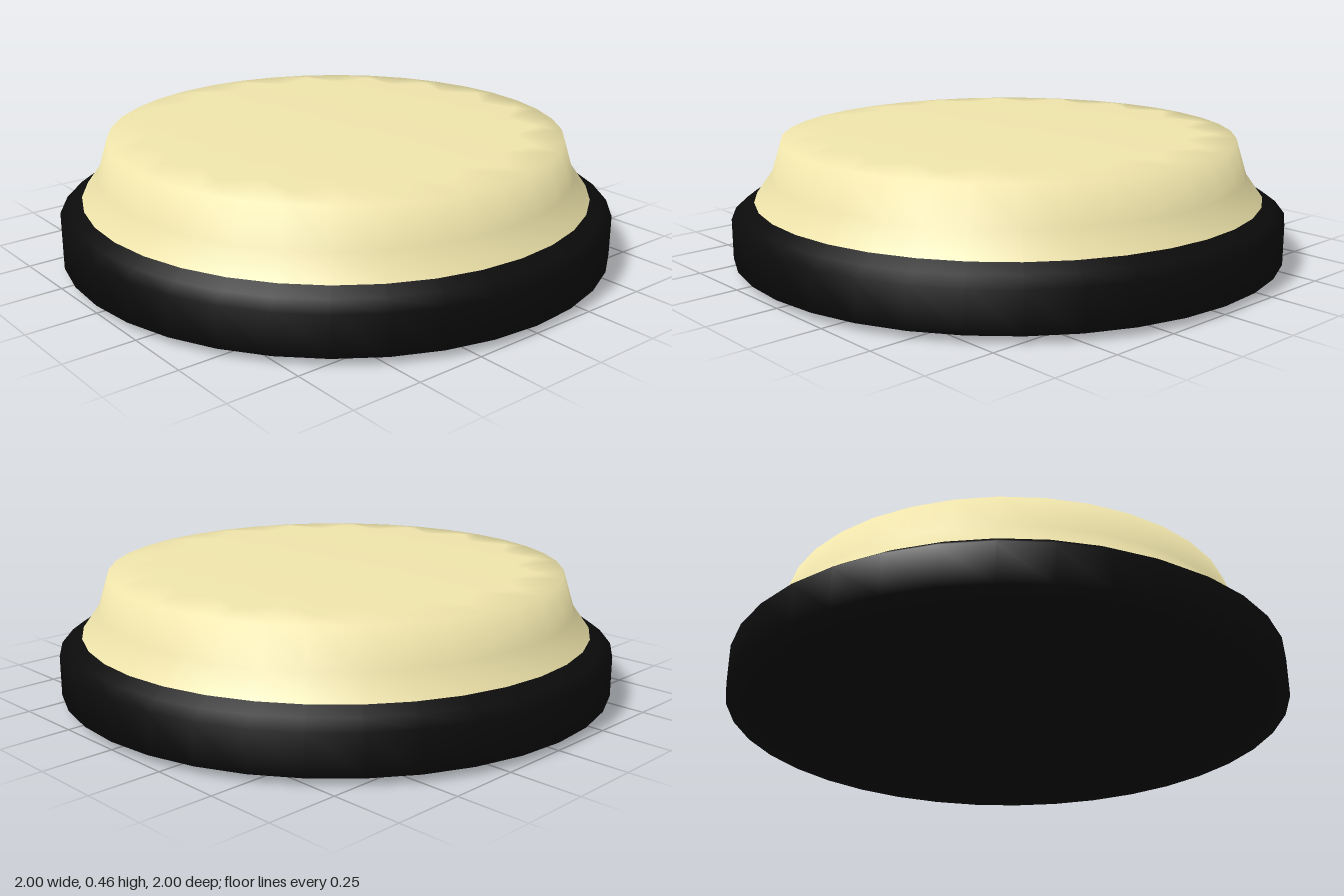
import * as THREE from 'three';

const SIDES = 36;

// Revolve a bottom-to-top [radius, height] profile around the y axis
function turned(name, profile, color) {
  const points = profile.map(([r, y]) => new THREE.Vector2(r, y));
  const mesh = new THREE.Mesh(
    new THREE.LatheGeometry(points, SIDES),
    new THREE.MeshStandardMaterial({ color })
  );
  mesh.name = name;
  return mesh;
}

export function createModel() {
  const group = new THREE.Group();
  group.name = 'roundButton';

  // Dark base ring with a shallow convex underside
  group.add(turned('base', [
    [0, 0], [0.6, 0.01], [0.9, 0.018], [1, 0.027], [1, 0.17], [0.96, 0.2], [0.92, 0.227],
  ], 0x0b0b0b));

  // Cream cap: flared skirt, steep wall and nearly flat top
  const profile = [[0.92, 0.227], [0.86, 0.31], [0.82, 0.44], [0.68, 0.452], [0.3, 0.46], [0, 0.462]];
  const cap = turned('cap', profile, 0xeee3aa);

  // Scallop the inner ring of the top by pushing alternate points in and out
  const pos = cap.geometry.attributes.position;
  const rings = profile.length;
  for (let i = 0; i <= SIDES; i++) {
    const v = i * rings + 3;
    const s = i % 2 ? 1.07 : 0.95;
    pos.setX(v, pos.getX(v) * s);
    pos.setZ(v, pos.getZ(v) * s);
  }
  group.add(cap);

  return group;
}
